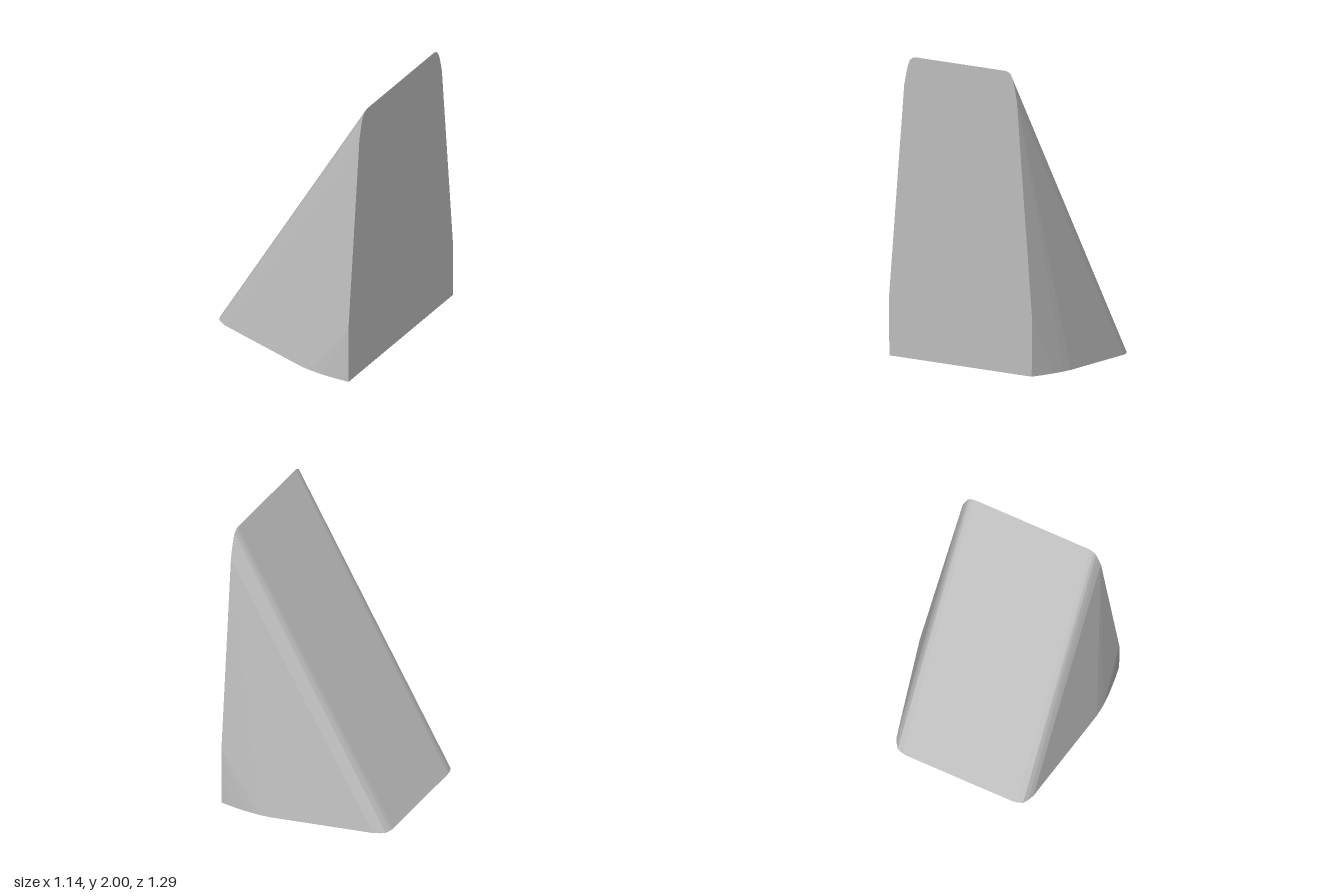
import * as THREE from 'three';
import { ConvexGeometry } from 'three/addons/geometries/ConvexGeometry.js';

export function createModel() {
  const group = new THREE.Group();
  const grey = new THREE.MeshStandardMaterial({ color: 0xc0c0c0 });
  grey.name = 'plain grey';

  // Half outline of the base, as x and half width in z
  const base = [
    [-0.57, 0.38], [-0.566, 0.41], [-0.552, 0.45], [-0.52, 0.472], [-0.48, 0.491],
    [0.2, 0.636], [0.28, 0.645], [0.38, 0.645], [0.48, 0.638], [0.57, 0.627],
  ];
  // Half outline of the upright face, as y and half width in z
  const upright = [
    [0.2, 0.629], [0.41, 0.628], [1.81, 0.496], [1.9, 0.475],
    [1.95, 0.46], [1.98, 0.443], [1.995, 0.42], [2, 0.4],
  ];

  // The wedge is the hull stretched between the two mirrored outlines
  const points = [];
  for (const side of [1, -1]) {
    for (const [x, z] of base) points.push(new THREE.Vector3(x, 0, side * z));
    for (const [y, z] of upright) points.push(new THREE.Vector3(0.57, y, side * z));
  }
  const wedge = new THREE.Mesh(new ConvexGeometry(points), grey);
  wedge.name = 'wedge';
  group.add(wedge);
  return group;
}
